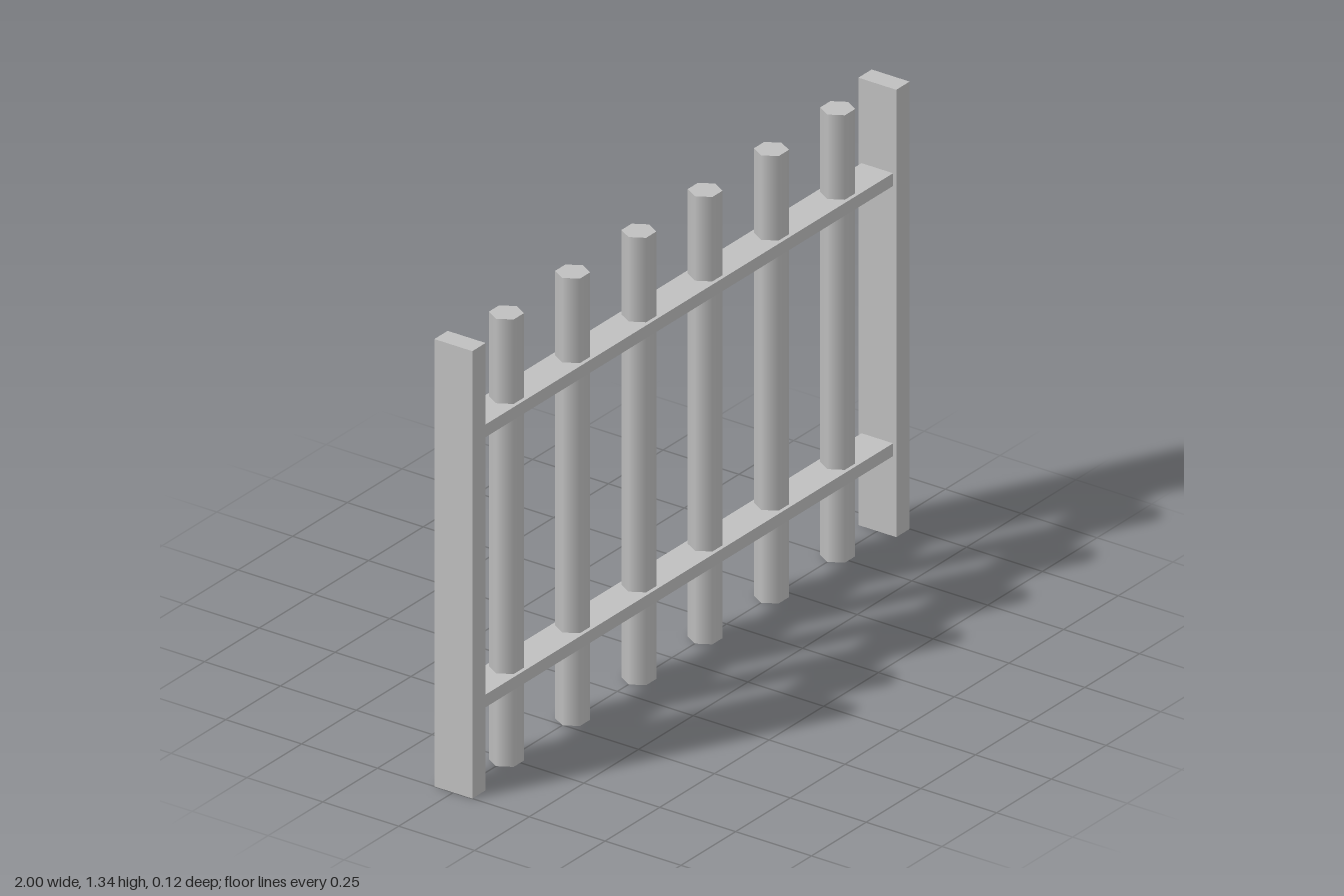
import * as THREE from 'three';

export function createModel() {
  const fence = new THREE.Group();
  fence.name = 'fence';
  const grey = new THREE.MeshStandardMaterial({ color: 0xc0c0c0 });
  grey.name = 'grey metal';

  const height = 1.335;
  const add = (name, geometry, x, y) => {
    const mesh = new THREE.Mesh(geometry, grey);
    mesh.name = name;
    mesh.position.set(x, y, 0);
    fence.add(mesh);
  };

  // Flat end posts
  const postGeometry = new THREE.BoxGeometry(0.061, height, 0.125);
  add('leftPost', postGeometry, 0.9695, height / 2);
  add('rightPost', postGeometry, -0.9695, height / 2);

  // Horizontal rails between the posts
  const railGeometry = new THREE.BoxGeometry(1.878, 0.038, 0.104);
  add('lowerRail', railGeometry, 0, 0.258);
  add('upperRail', railGeometry, 0, 1.064);

  // Six hexagonal bars, corners pointing along x, softly shaded
  const barGeometry = new THREE.CylinderGeometry(0.047, 0.047, height, 6, 1, false, Math.PI / 2);
  for (let i = 0; i < 6; i++) {
    add(`bar${i + 1}`, barGeometry, (i - 2.5) * 0.303, height / 2);
  }

  return fence;
}
